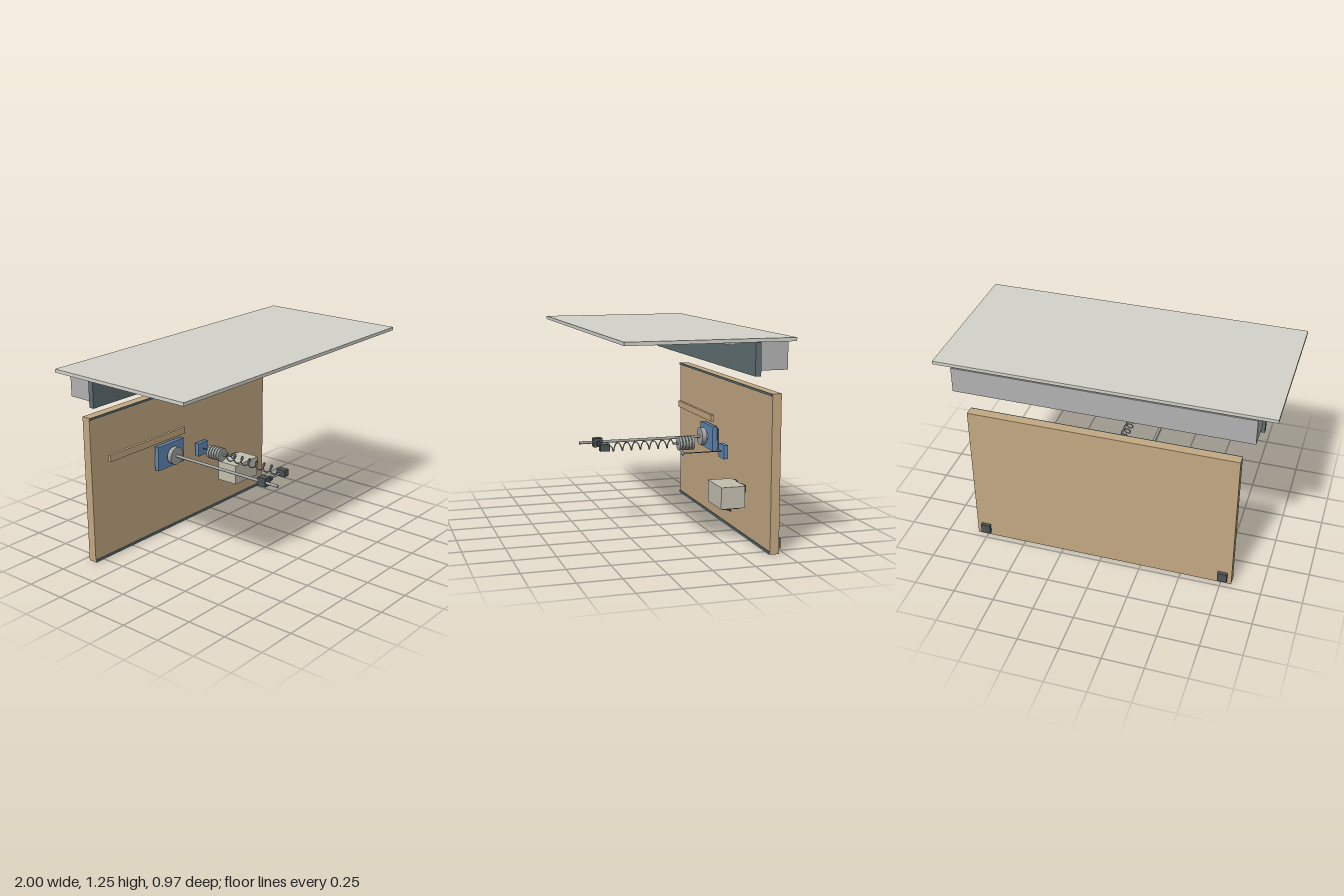
import * as THREE from 'three';

const mat = (color) => new THREE.MeshStandardMaterial({ color });
const M = {
  top: mat(0xd4d3cb), wood: mat(0xc4a983), slate: mat(0x607073), blue: mat(0x5f88b5),
  dark: mat(0x4c5456), metal: mat(0x9da19e), grey: mat(0xb2b2b2), cream: mat(0xc4c0b0),
};

export function createModel() {
  const root = new THREE.Group();

  const add = (parent, name, geometry, material) => {
    const mesh = new THREE.Mesh(geometry, material);
    mesh.name = name;
    parent.add(mesh);
    return mesh;
  };
  const group = (name) => {
    const g = new THREE.Group();
    g.name = name;
    root.add(g);
    return g;
  };
  // Box from its limits on each axis
  const box = (parent, name, material, x0, x1, y0, y1, z0, z1) => {
    const mesh = add(parent, name, new THREE.BoxGeometry(x1 - x0, y1 - y0, z1 - z0), material);
    mesh.position.set((x0 + x1) / 2, (y0 + y1) / 2, (z0 + z1) / 2);
    return mesh;
  };
  // Cylinder lying along z
  const cylZ = (parent, name, material, x, y, z0, z1, r, sides = 32) => {
    const mesh = add(parent, name, new THREE.CylinderGeometry(r, r, z1 - z0, sides), material);
    mesh.rotation.x = Math.PI / 2;
    mesh.position.set(x, y, (z0 + z1) / 2);
    return mesh;
  };
  // Cylinder lying along x
  const cylX = (parent, name, material, y, z, x0, x1, r) => {
    const mesh = add(parent, name, new THREE.CylinderGeometry(r, r, x1 - x0, 24), material);
    mesh.rotation.z = Math.PI / 2;
    mesh.position.set((x0 + x1) / 2, y, z);
    return mesh;
  };

  // Table top
  box(root, 'tableTop', M.top, -1, 1, 1.225, 1.245, -0.467, 0.487);

  // Back board with edge strips and rear feet
  const board = group('backBoard');
  box(board, 'boardPanel', M.wood, -0.815, 0.815, 0, 0.918, -0.465, -0.411);
  box(board, 'topStrip', M.slate, -0.815, 0.815, 0.905, 0.918, -0.411, -0.404);
  box(board, 'bottomStrip', M.slate, -0.815, 0.815, 0.002, 0.016, -0.411, -0.404);
  for (const x of [-0.76, 0.757]) box(board, 'foot', M.dark, x - 0.029, x + 0.029, 0.023, 0.083, -0.487, -0.465);

  // Cable housing under the table, with fascia and underside plates
  const housing = group('housing');
  box(housing, 'housingBody', M.grey, -0.89, 0.89, 1.06, 1.217, -0.465, -0.303);
  box(housing, 'fascia', M.slate, -0.908, 0.905, 1.03, 1.214, -0.303, -0.27);
  for (let i = -2; i <= 2; i++) {
    box(housing, 'undersidePlate', M.grey, i * 0.34 - 0.15, i * 0.34 + 0.15, 1.054, 1.06, -0.435, -0.325);
  }
  for (let i = 0; i < 4; i++) {
    const x = -0.43 + i * 0.07;
    box(housing, 'key', M.blue, x, x + 0.058, 1.046, 1.06, -0.337, -0.306);
    box(housing, 'key', M.blue, x, x + 0.058, 1.046, 1.06, -0.391, -0.35);
  }

  // Lamp bar with five tapered lamps
  const lamps = group('lampBar');
  box(lamps, 'bar', M.grey, -0.885, 0.885, 1.202, 1.218, -0.162, -0.126);
  const lampShape = new THREE.Shape([[-0.05, 0.01], [-0.03, 0], [0.03, 0], [0.05, 0.01]].map((p) => new THREE.Vector2(...p)));
  for (let i = -2; i <= 2; i++) {
    const lamp = add(lamps, 'lamp', new THREE.ExtrudeGeometry(lampShape, { depth: 0.022, bevelEnabled: false }), M.grey);
    lamp.position.set(i * 0.25, 1.193, -0.155);
  }

  // Loose wooden rule
  box(root, 'rule', M.wood, -0.705, -0.047, 0.628, 0.67, -0.38, -0.361);

  // Main bracket, flange and long rod
  const ROD_X = -0.165, AXIS_Y = 0.516, ARM_Z = 0.35;
  const support = group('springSupport');
  box(support, 'bracket', M.blue, -0.285, -0.05, 0.438, 0.594, -0.403, -0.374);
  box(support, 'bracketBacking', M.dark, -0.275, -0.045, 0.448, 0.582, -0.411, -0.403);
  cylZ(support, 'flange', M.metal, ROD_X, AXIS_Y, -0.358, -0.327, 0.056, 48);
  cylZ(support, 'flangeNeck', M.metal, ROD_X, AXIS_Y, -0.374, -0.358, 0.025);
  cylZ(support, 'longRod', M.metal, ROD_X, AXIS_Y, -0.327, 0.462, 0.009);

  // Clamp, cross rod and end block
  box(support, 'clampBlock', M.dark, -0.178, -0.126, 0.49, 0.544, ARM_Z - 0.028, ARM_Z + 0.028);
  cylX(support, 'clampCollar', M.dark, AXIS_Y, ARM_Z, -0.126, -0.112, 0.012);
  cylX(support, 'clampNut', M.dark, AXIS_Y, ARM_Z, -0.102, -0.086, 0.016);
  cylX(support, 'crossRod', M.metal, AXIS_Y, ARM_Z, -0.126, 0.03, 0.006);
  box(support, 'endBlock', M.dark, 0.01, 0.052, 0.496, 0.538, ARM_Z - 0.03, ARM_Z + 0.03);

  // Coil spring with short straight ends on its axis
  const SPRING_X = 0.03;
  class Coil extends THREE.Curve {
    getPoint(t, target = new THREE.Vector3()) {
      const r = 0.025 * Math.min(1, t * 25, (1 - t) * 25);
      const a = t * Math.PI * 2 * 7.25;
      return target.set(SPRING_X + r * Math.sin(a), AXIS_Y + r * Math.cos(a), 0.322 - 0.412 * t);
    }
  }
  add(support, 'spring', new THREE.TubeGeometry(new Coil(), 360, 0.0038, 8), M.metal);

  // Stack of slotted weights on a hanger
  const weights = group('weights');
  cylZ(weights, 'hanger', M.metal, SPRING_X, AXIS_Y, -0.217, -0.085, 0.006);
  cylZ(weights, 'weightCore', M.metal, SPRING_X, AXIS_Y, -0.214, -0.122, 0.02);
  for (let i = 0; i < 5; i++) {
    const z = -0.215 + i * 0.02;
    cylZ(weights, 'weight', M.metal, SPRING_X, AXIS_Y, z, z + 0.0155, 0.043, 40);
  }

  // Pointer: small block, thin rod and ball
  const pointer = group('pointer');
  box(pointer, 'pointerBlock', M.blue, 0.083, 0.175, 0.429, 0.515, -0.393, -0.366);
  cylZ(pointer, 'pointerRod', M.dark, 0.129, 0.472, -0.366, -0.116, 0.003, 12);
  const ball = add(pointer, 'pointerBall', new THREE.SphereGeometry(0.012, 24, 16), M.blue);
  ball.position.set(0.129, 0.472, -0.116);

  // Control box with rear mounts and underside fittings
  const control = group('controlBox');
  box(control, 'controlBody', M.cream, 0.29, 0.52, 0.205, 0.335, -0.372, -0.224);
  for (const x of [0.34, 0.47]) box(control, 'rearMount', M.dark, x - 0.025, x + 0.025, 0.29, 0.334, -0.387, -0.372);
  box(control, 'bottomPlate', M.dark, 0.3, 0.51, 0.2, 0.205, -0.35, -0.238);
  for (const [x, z, r, h] of [[0.36, -0.28, 0.018, 0.01], [0.47, -0.28, 0.018, 0.01], [0.42, -0.33, 0.012, 0.006]]) {
    const knob = add(control, 'knob', new THREE.CylinderGeometry(r, r, h, 24), M.dark);
    knob.position.set(x, 0.2 - h / 2, z);
  }
  box(control, 'lever', M.dark, 0.47, 0.528, 0.193, 0.198, -0.285, -0.275);

  return root;
}
